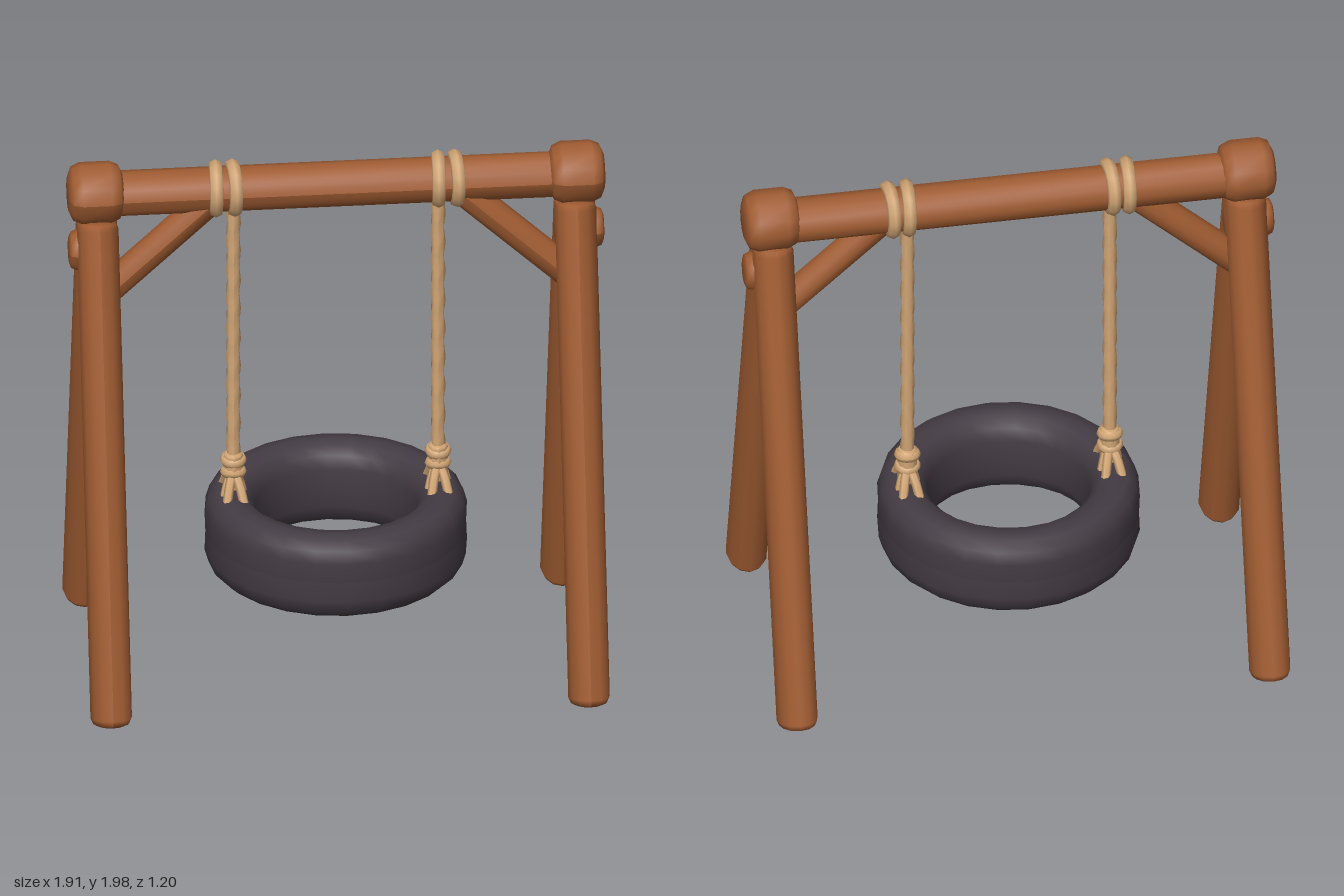
import * as THREE from 'three';

const wood = new THREE.MeshStandardMaterial({ color: 0xa05c32 });
wood.name = 'wood';
const rubber = new THREE.MeshStandardMaterial({ color: 0x433b43 });
rubber.name = 'rubber';
const rope = new THREE.MeshStandardMaterial({ color: 0xd2a676 });
rope.name = 'rope';

const V = (x, y, z) => new THREE.Vector3(x, y, z);
const UP = V(0, 1, 0);

// Round log with softened ends running from a to b; rx and rz allow an oval section
function log(name, a, b, rx, rz, bevel, material = wood, sides = 12) {
  const len = a.distanceTo(b);
  const c = bevel / rx;
  const profile = [[0, 0], [1 - c, 0], [1 - c * 0.3, bevel * 0.3], [1, bevel],
    [1, len - bevel], [1 - c * 0.3, len - bevel * 0.3], [1 - c, len], [0, len]];
  const geo = new THREE.LatheGeometry(profile.map(([r, y]) => new THREE.Vector2(r, y)), sides);
  geo.scale(rx, 1, rz);
  geo.computeVertexNormals();
  const mesh = new THREE.Mesh(geo, material);
  mesh.name = name;
  mesh.position.copy(a);
  mesh.quaternion.setFromUnitVectors(UP, b.clone().sub(a).normalize());
  return mesh;
}

// Rope whose three strands twist along its length
function twistedRope(x, y0, y1, z) {
  const geo = new THREE.CylinderGeometry(1, 1, y1 - y0, 9, 44, true);
  const p = geo.attributes.position;
  for (let i = 0; i < p.count; i++) {
    const t = Math.atan2(p.getZ(i), p.getX(i));
    const r = 0.024 * (1 + 0.14 * Math.cos(3 * t - p.getY(i) * 55));
    p.setX(i, Math.cos(t) * r);
    p.setZ(i, Math.sin(t) * r);
  }
  geo.computeVertexNormals();
  const mesh = new THREE.Mesh(geo, rope);
  mesh.name = 'hangingRope';
  mesh.position.set(x, (y0 + y1) / 2, z);
  return mesh;
}

function ropeRing(name, radius, tube, pos, rot) {
  const mesh = new THREE.Mesh(new THREE.TorusGeometry(radius, tube, 7, 14), rope);
  mesh.name = name;
  mesh.position.copy(pos);
  mesh.rotation.set(...rot);
  return mesh;
}

export function createModel() {
  const model = new THREE.Group();
  model.name = 'tyreSwing';
  const zc = -0.013;

  // Crossbeam
  model.add(log('crossbeam', V(-0.9, 1.88, zc), V(0.9, 1.88, zc), 0.081, 0.083, 0.02));

  // Frame ends
  for (const s of [-1, 1]) {
    model.add(log('beamCap', V(s * 0.76, 1.89, -0.007), V(s * 0.955, 1.89, -0.007), 0.11, 0.113, 0.045));
    for (const f of [-1, 1]) {
      const leg = log(f > 0 ? 'frontLeg' : 'backLeg',
        V(s * 0.852, 0.035, f * 0.522), V(s * 0.852, 1.79, f * 0.017), 0.074, 0.092, 0.03);
      model.add(leg);
    }
    // Diagonal brace and the peg that holds it
    model.add(log('brace', V(s * 0.86, 1.465, 0), V(s * 0.44, 1.85, -0.005), 0.055, 0.055, 0.015, wood, 10));
    model.add(log('bracePeg', V(s * 0.78, 1.67, 0), V(s * 0.953, 1.67, 0), 0.075, 0.062, 0.025, wood, 10));
  }

  // Ropes
  for (const s of [-1, 1]) {
    const x = s * 0.365;
    const set = new THREE.Group();
    set.name = s > 0 ? 'leftRope' : 'rightRope';
    set.add(twistedRope(x, 0.72, 1.84, zc));
    // Two turns around the beam
    [0.365, 0.428].forEach((rx, i) => {
      set.add(ropeRing('beamLoop', 0.08, 0.026, V(s * rx, 1.882, zc),
        [0, Math.PI / 2 + s * (i ? 0.05 : -0.05), 0]));
    });
    // Knot
    set.add(log('knotCore', V(x, 0.69, zc), V(x, 0.83, zc), 0.036, 0.042, 0.012, rope, 9));
    [0.755, 0.803].forEach((y, i) => {
      set.add(ropeRing('knotTurn', 0.028, 0.02, V(x, y, zc), [Math.PI / 2 + (i ? 0.15 : -0.15), 0, 0]));
    });
    // Splayed strands gripping the tyre
    for (const [dx, dz] of [[-0.03, 0.085], [0.03, 0.085], [-0.03, -0.085], [0.03, -0.085], [-0.035, 0.03], [0.035, -0.03]]) {
      const curve = new THREE.CatmullRomCurve3([V(x, 0.76, zc),
        V(x + dx * 0.6, 0.72, zc + dz * 0.6), V(x + dx, 0.665, zc + dz)]);
      const strand = new THREE.Mesh(new THREE.TubeGeometry(curve, 5, 0.017, 6), rope);
      strand.name = 'strand';
      set.add(strand);
    }
    model.add(set);
  }

  // Tyre: a tall rounded section swept around the vertical axis
  const section = [[0.465, 0.525], [0.468, 0.6], [0.455, 0.645], [0.425, 0.674], [0.38, 0.681],
    [0.335, 0.672], [0.305, 0.645], [0.29, 0.6], [0.287, 0.525], [0.29, 0.45], [0.305, 0.405],
    [0.335, 0.378], [0.38, 0.369], [0.425, 0.376], [0.455, 0.405], [0.468, 0.45], [0.465, 0.525]];
  const tyre = new THREE.Mesh(
    new THREE.LatheGeometry(section.map(([r, y]) => new THREE.Vector2(r, y)), 24), rubber);
  tyre.name = 'tyre';
  tyre.position.z = -0.01;
  model.add(tyre);

  return model;
}
